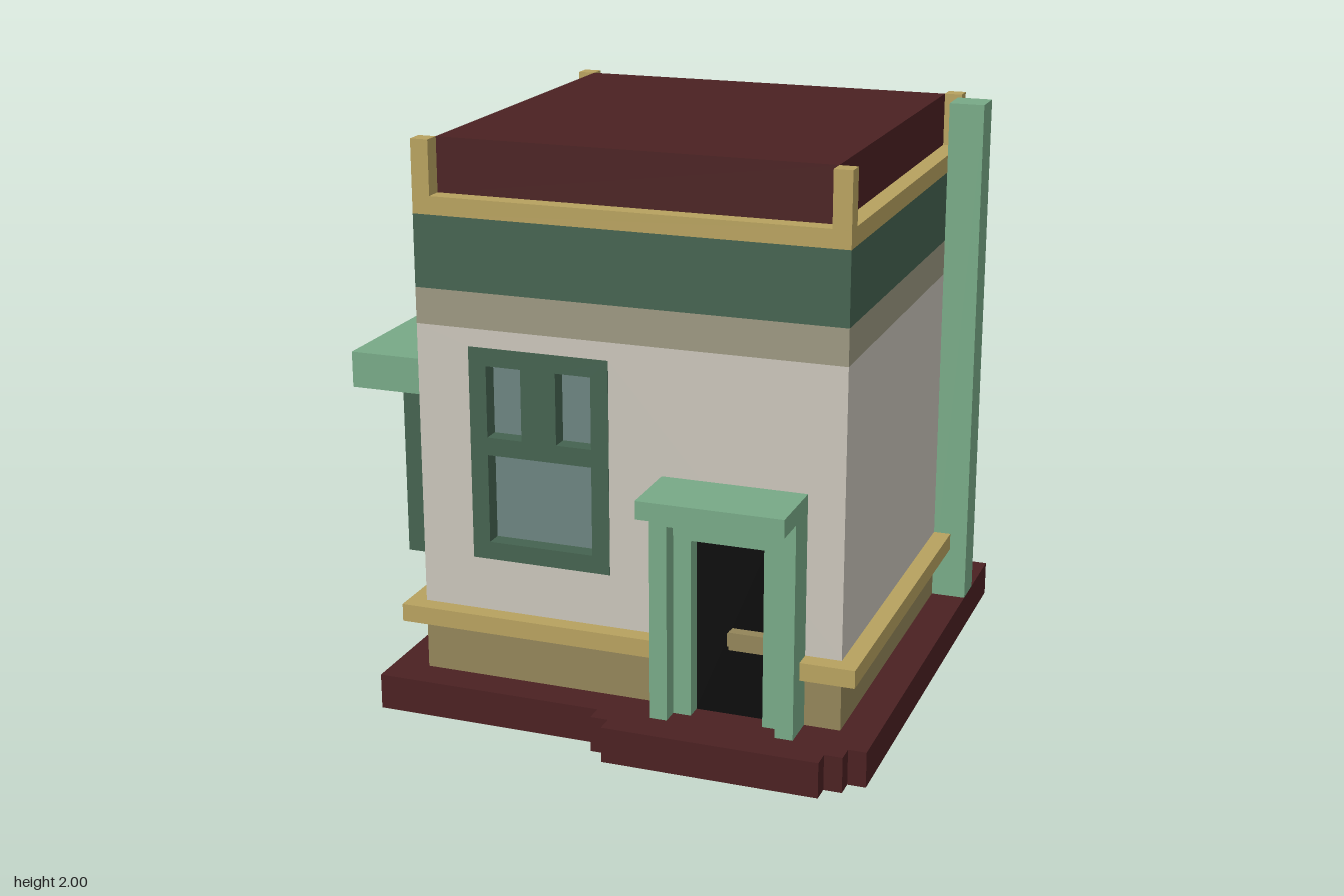
import * as THREE from 'three';

const mat = (name, color) => {
  const m = new THREE.MeshStandardMaterial({ color });
  m.name = name;
  return m;
};

export function createModel() {
  const M = {
    maroon: mat('maroon', 0x4b2122),
    olive: mat('olive', 0x938559),
    tan: mat('tan', 0xb8a25f),
    wall: mat('pale wall', 0xcac5ba),
    band: mat('grey band', 0x9c9881),
    dark: mat('dark green', 0x456350),
    green: mat('light green', 0x78aa87),
    glass: mat('glass', 0x6c8480),
    black: mat('black', 0x0b0b0b),
  };
  const root = new THREE.Group();
  root.name = 'shopBuilding';

  // Box given by its low and high corners
  const box = (name, m, x0, x1, y0, y1, z0, z1, parent = root) => {
    const mesh = new THREE.Mesh(new THREE.BoxGeometry(x1 - x0, y1 - y0, z1 - z0), m);
    mesh.position.set((x0 + x1) / 2, (y0 + y1) / 2, (z0 + z1) / 2);
    mesh.name = name;
    parent.add(mesh);
    return mesh;
  };
  // Upright panel with rectangular holes, each [x0, x1, y0, y1]
  const trace = (p, [x0, x1, y0, y1]) =>
    p.moveTo(x0, y0).lineTo(x1, y0).lineTo(x1, y1).lineTo(x0, y1).closePath();
  const panel = (name, m, rect, holes, z0, z1, parent = root) => {
    const shape = trace(new THREE.Shape(), rect);
    shape.holes = holes.map((h) => trace(new THREE.Path(), h));
    const geo = new THREE.ExtrudeGeometry(shape, { depth: z1 - z0, bevelEnabled: false });
    const mesh = new THREE.Mesh(geo, m);
    mesh.position.z = z0;
    mesh.name = name;
    parent.add(mesh);
    return mesh;
  };
  const group = (name) => {
    const g = new THREE.Group();
    g.name = name;
    root.add(g);
    return g;
  };

  // Footprint of the walls
  const X0 = -0.6875, X1 = 0.8125, Z0 = -0.8125, Z1 = 0.6875, u = 0.0625;
  const layer = (name, m, y0, y1, grow = 0) =>
    box(name, m, X0 - grow, X1 + grow, y0, y1, Z0 - grow, Z1 + grow);

  // Plinth and stepped entrance
  layer('plinth', M.maroon, 0, 0.125, 0.125);
  box('lowerStep', M.maroon, 0, 0.875, 0, 0.125, 0.8125, 0.875);
  box('frontStep', M.maroon, 0.0625, 0.8125, 0, 0.125, 0.875, 0.9375);

  // Horizontal wall layers
  layer('lowerWall', M.olive, 0.125, 0.375);
  layer('greyBand', M.band, 1.375, 1.5);
  layer('greenBand', M.dark, 1.5, 1.75);
  layer('roofTrim', M.tan, 1.75, 1.8125);
  layer('roofBlock', M.maroon, 1.8125, 2, -u);
  box('wallBody', M.wall, X0, X1, 0.375, 1.375, Z0, Z1 - u);

  // Ledge, broken at the doorway
  const ledge = group('ledge');
  const lY = [0.3125, 0.375];
  box('backLedge', M.tan, X0 - u, X1 + u, ...lY, Z0 - u, Z0, ledge);
  box('rightLedge', M.tan, X0 - u, X0, ...lY, Z0, Z1 + u, ledge);
  box('leftLedge', M.tan, X1, X1 + u, ...lY, Z0, Z1 + u, ledge);
  box('frontLedge', M.tan, X0, 0.1875, ...lY, Z1, Z1 + u, ledge);
  box('frontLedge', M.tan, 0.6875, X1, ...lY, Z1, Z1 + u, ledge);

  // Corner posts of the roof
  for (const x of [X0, X1 - u])
    for (const z of [Z0, Z1 - u]) box('roofPost', M.tan, x, x + u, 1.8125, 2, z, z + u);

  // Front wall with its recessed window
  const opening = [-0.5, 0, 0.5625, 1.3125];
  const panes = [
    [-0.4375, -0.3125, 1, 1.25],
    [-0.1875, -0.0625, 1, 1.25],
    [-0.4375, -0.0625, 0.625, 0.9375],
  ];
  panel('frontWall', M.wall, [X0, X1, 0.375, 1.375], [opening], Z1 - u, Z1);
  const win = group('frontWindow');
  panel('windowFrame', M.dark, opening, panes, Z1 - u, Z1 + 0.002, win);
  for (const [x0, x1, y0, y1] of panes)
    box('windowPane', M.glass, x0, x1, y0, y1, Z1 - u - 0.004, Z1 - u + 0.004, win);

  // Doorway: two stepped frames, canopy, door and handle
  const door = group('doorway');
  const arch = (name, x0, x1, top, z1) => {
    box(name, M.green, x0, x0 + u, 0.125, top, Z1, z1, door);
    box(name, M.green, x1 - u, x1, 0.125, top, Z1, z1, door);
    box(name, M.green, x0 + u, x1 - u, top - u, top, Z1, z1, door);
  };
  arch('outerDoorFrame', 0.1875, 0.6875, 0.875, 0.8125);
  arch('innerDoorFrame', 0.25, 0.625, 0.8125, 0.75);
  box('doorCanopy', M.green, 0.1875, 0.6875, 0.875, 0.9375, Z1, 0.9375, door);
  box('door', M.black, 0.3125, 0.5625, 0.125, 0.75, Z1, Z1 + 0.005, door);
  box('doorHandle', M.olive, 0.4375, 0.5625, 0.375, 0.4375, Z1, Z1 + 0.045, door);
  box('doorHandleTip', M.olive, 0.43, 0.4375, 0.385, 0.43, Z1 + 0.01, Z1 + 0.04, door);

  // Shop window on the side: frame, panes, pale sills and awning
  const shop = group('shopWindow');
  const sz0 = -0.6875, sz1 = 0.5625, pw = (sz1 - sz0 - 4 * u) / 3;
  const sx0 = X0 - 0.125;
  box('shopWindowBottom', M.dark, sx0, X0, 0.5, 0.5625, sz0, sz1, shop);
  box('shopWindowTop', M.dark, sx0, X0, 1.0625, 1.125, sz0, sz1, shop);
  for (let i = 0; i < 4; i++) {
    const z = sz0 + i * (pw + u);
    box('shopWindowPost', M.dark, sx0, X0, 0.5625, 1.0625, z, z + u, shop);
    if (i === 3) break;
    box('shopWindowPane', M.glass, X0 - 0.006, X0, 0.5625, 1.0625, z + u, z + u + pw, shop);
    box('shopWindowSill', M.wall, X0 - u, X0, 0.5625, 0.625, z + u, z + u + pw, shop);
  }
  box('awning', M.green, X0 - 0.25, X0, 1.125, 1.25, Z0, Z1, shop);

  // Tall pipe on the other side
  box('chimneyPipe', M.green, X1, X1 + 0.125, 0.125, 2, -0.6875, -0.5625);

  return root;
}
